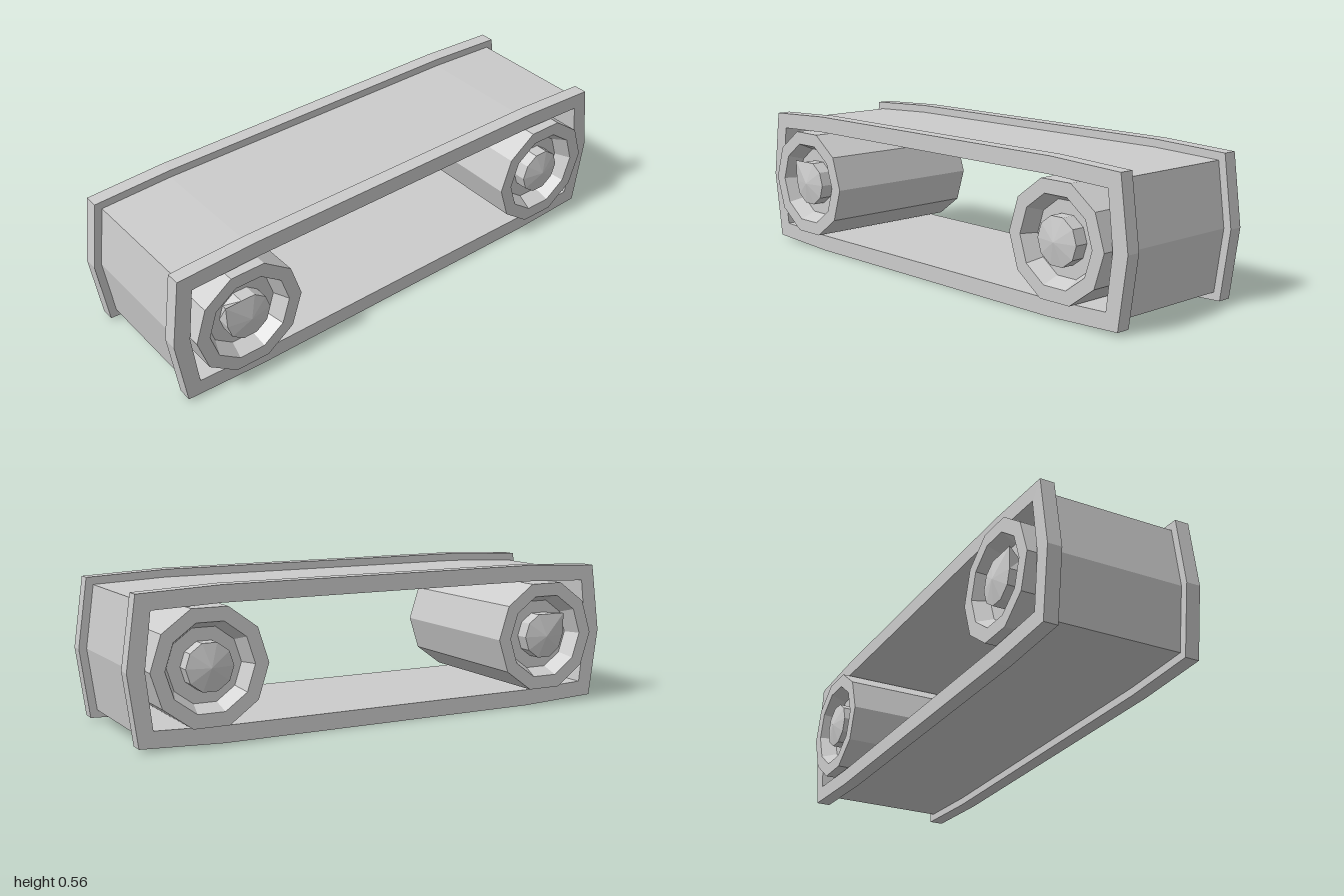
import * as THREE from 'three';

const MID = 0.28; // height of the roller axles
const material = new THREE.MeshStandardMaterial({ color: 0xcccccc, flatShading: true });

// Ten-sided loop: flat top and bottom, pointed ends, mirrored in x and y
function loopPoints(endX, cornerX, cornerH, flatX, flatH) {
  const quarter = [[endX, 0], [cornerX, cornerH], [flatX, flatH]];
  const upper = [...quarter, ...quarter.slice().reverse().map(([x, h]) => [-x, h])];
  const lower = upper.slice(1, -1).reverse().map(([x, h]) => [x, -h]);
  return [...upper, ...lower].map(([x, h]) => new THREE.Vector2(x, MID + h));
}

function band(name, outer, depth, z) {
  const shape = new THREE.Shape(loopPoints(...outer));
  shape.holes.push(new THREE.Path(loopPoints(0.935, 0.91, 0.207, 0.65, 0.217)));
  const geo = new THREE.ExtrudeGeometry(shape, { depth, bevelEnabled: false });
  geo.translate(0, 0, z - depth / 2);
  const mesh = new THREE.Mesh(geo, material);
  mesh.name = name;
  return mesh;
}

// Ten-sided drum with a recessed face and a shallow pointed hub at each end
function roller(name, x, chipped) {
  const half = [[0, 0.345], [0.09, 0.327], [0.09, 0.275], [0.14, 0.275], [0.167, 0.335], [0.22, 0.335]];
  const profile = [
    ...half.map(([r, z]) => new THREE.Vector2(r, -z)),
    ...half.slice().reverse().map(([r, z]) => new THREE.Vector2(r, z)),
  ];
  const geo = new THREE.LatheGeometry(profile, 10, Math.PI / 2);
  geo.rotateX(Math.PI / 2);
  if (chipped) {
    // One hub corner is pulled outwards
    const p = geo.attributes.position;
    for (let i = 0; i < p.count; i++) {
      const corner = Math.hypot(p.getX(i) + 0.073, p.getY(i) - 0.053) < 0.005;
      if (corner && Math.abs(p.getZ(i)) > 0.32) {
        p.setX(i, -0.093);
        p.setY(i, 0.085);
      }
    }
  }
  const mesh = new THREE.Mesh(geo, material);
  mesh.name = name;
  mesh.position.set(x, MID, 0);
  return mesh;
}

export function createModel() {
  const model = new THREE.Group();
  model.name = 'conveyorTrack';

  // Belt with a raised rim along each edge
  model.add(band('belt', [0.97, 0.937, 0.238, 0.65, 0.25], 0.49, 0));
  const rim = [1, 0.963, 0.266, 0.65, 0.28];
  model.add(band('frontRim', rim, 0.055, 0.2725));
  model.add(band('backRim', rim, 0.055, -0.2725));

  // Rollers at both ends
  model.add(roller('leftRoller', 0.71, false));
  model.add(roller('rightRoller', -0.71, true));
  return model;
}
